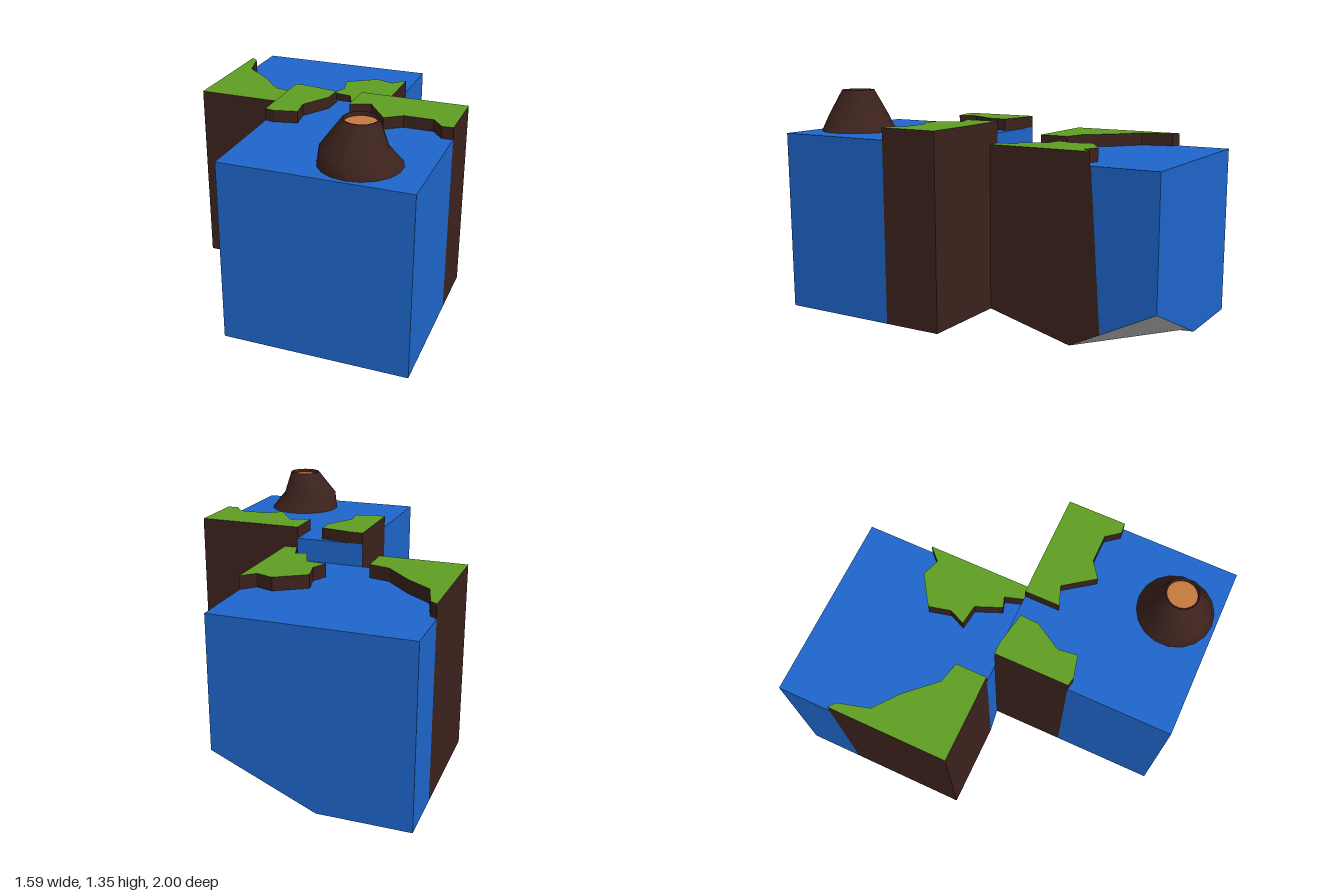
import * as THREE from 'three';

const paint = (color) => new THREE.MeshStandardMaterial({ color, side: THREE.DoubleSide });

export function createModel() {
  const model = new THREE.Group();
  const water = paint(0x1e66cc), earth = paint(0x3c221d), grass = paint(0x5f9f22);
  const lava = paint(0xc87a40), base = paint(0xcccccc);

  const add = (parent, name, geometry, material) => {
    const mesh = new THREE.Mesh(geometry, material);
    mesh.name = name;
    parent.add(mesh);
    return mesh;
  };
  const build = (points, index) => {
    const g = new THREE.BufferGeometry();
    g.setAttribute('position', new THREE.Float32BufferAttribute(points.flat(), 3));
    g.setIndex(index);
    g.computeVertexNormals();
    return g;
  };
  // Flat polygon fanned from its first corner
  const face = (points) => build(points, points.slice(2).flatMap((_, i) => [0, i + 1, i + 2]));
  // Horizontal sheet from [x, z] corners
  const sheet = (outline, y) => new THREE.ShapeGeometry(
    new THREE.Shape(outline.map(([x, z]) => new THREE.Vector2(x, -z))))
    .rotateX(-Math.PI / 2).translate(0, y, 0);
  const rect = (x0, x1, z0, z1) => [[x0, z1], [x1, z1], [x1, z0], [x0, z0]];
  // Walls: p maps 2D wall coordinates to 3D
  const onX = (x, pts) => face(pts.map(([z, y]) => [x, y, z]));
  const onZ = (z, pts) => face(pts.map(([x, y]) => [x, y, z]));

  // Grass plateau with a vertical cliff all round it, down to the water
  const land = (parent, name, outline, low, high) => {
    const g = new THREE.Group();
    g.name = name;
    parent.add(g);
    add(g, 'grass', sheet(outline, high), grass);
    const quads = outline.map((a, i) => {
      const b = outline[(i + 1) % outline.length];
      return [[a[0], low, a[1]], [b[0], low, b[1]], [b[0], high, b[1]], [a[0], high, a[1]]];
    });
    add(g, 'cliff', build(quads.flat(),
      quads.flatMap((_, i) => [0, 1, 2, 0, 2, 3].map((k) => k + i * 4))).toNonIndexed(), earth);
  };

  // ---- Front block ----
  const front = new THREE.Group();
  front.name = 'frontBlock';
  model.add(front);
  const L = -0.2, R = 0.79, B = 0.13, W = 1.12, T = 1.185;
  const band = (a, b, lo = B, hi = W) => [[a, lo], [b, lo], [b, hi], [a, hi]];
  add(front, 'waterTop', sheet(rect(L, R, 0, 1), W), water);
  add(front, 'waterFront', onZ(1, band(L, R)), water);
  add(front, 'waterLeft', onX(R, band(1, 0.33)), water);
  add(front, 'waterRight', onX(L, band(0.42, 1)), water);
  add(front, 'waterBack', onZ(0, band(0.19, L)), water);
  add(front, 'earthLeft', onX(R, band(0.33, 0)), earth);
  add(front, 'earthRight', onX(L, band(0, 0.42)), earth);
  add(front, 'earthBack', onZ(0, band(R, 0.19)), earth);
  add(front, 'underside', sheet(rect(L, R, 0, 1), 0).rotateX(Math.PI).translate(0, B, 1), base);
  land(front, 'smallShore', [[L, 0], [-0.13, 0], [0.055, 0.035], [0.05, 0.14], [-0.04, 0.29],
    [-0.025, 0.4], [-0.15, 0.43], [L, 0.42]], W, T);
  land(front, 'wideShore', [[0.19, 0], [0.19, 0.2], [0.3, 0.16], [0.42, 0.325], [0.51, 0.26],
    [0.67, 0.26], [0.73, 0.335], [R, 0.33], [R, 0]], W, T);

  // ---- Back block, with its underside lifted along one side ----
  const back = new THREE.Group();
  back.name = 'backBlock';
  model.add(back);
  const l = -0.8, r = 0.27, w = 0.99, t = 1.065, m = -0.3;
  add(back, 'waterTop', sheet(rect(l, r, -1, 0), w), water);
  add(back, 'waterBack', onZ(-1, [[r, w], [r, 0.25], [m, 0], [l, 0], [l, w]]), water);
  add(back, 'waterLeft', onX(r, [[-0.68, 0.09], [-1, 0.25], [-1, w], [-0.615, w]]), water);
  add(back, 'waterRight', onX(l, band(-1, -0.69, 0, w)), water);
  add(back, 'waterFront', onZ(0, [[m, w], [m, 0], [L, B], [0.195, B], [0.195, w]]), water);
  add(back, 'earthLeft', onX(r, [[0, w], [0, B], [-0.5, 0], [-0.68, 0.09], [-0.615, w]]), earth);
  add(back, 'earthRight', onX(l, band(-0.69, 0, 0, w)), earth);
  add(back, 'earthFront', onZ(0, band(l, m, 0, w)), earth);
  add(back, 'earthFrontEdge', onZ(0, band(0.195, r, B, w)), earth);
  land(back, 'cornerShore', [[l, 0], [l, -0.69], [-0.76, -0.66], [-0.71, -0.48], [-0.57, -0.37],
    [-0.42, -0.21], [m, -0.18], [m, 0]], w, t);
  land(back, 'raggedShore', [[r, -0.61], [0.2, -0.54], [0.1, -0.575], [-0.065, -0.465],
    [-0.035, -0.34], [-0.075, -0.25], [0.04, -0.235], [0.1, -0.09], [0.16, -0.11], [0.195, 0],
    [r, 0]], w, t);
  // Underside: rows of [x, y] at three depths
  const rows = [
    [0, [[l, 0], [m, 0], [L, B], [r, B]]],
    [-0.5, [[l, 0], [m, 0], [L, 0], [r, 0]]],
    [-1, [[l, 0], [m, 0], [L, 0.044], [r, 0.25]]],
  ];
  const index = [];
  for (let j = 0; j < 2; j++) for (let i = 0; i < 3; i++) {
    const a = j * 4 + i;
    index.push(a, a + 4, a + 1, a + 1, a + 4, a + 5);
  }
  add(back, 'underside', build(rows.flatMap(([z, row]) => row.map(([x, y]) => [x, y, z])), index), base);

  // ---- Volcano: a turned cone whose shoulder leans off-centre ----
  const volcano = new THREE.Group();
  volcano.name = 'volcano';
  volcano.position.set(0.45, W, 0.77);
  model.add(volcano);
  const cone = new THREE.LatheGeometry([[0.21, 0], [0.167, 0.09], [0.09, 0.23]]
    .map(([x, y]) => new THREE.Vector2(x, y)), 18);
  const p = cone.attributes.position;
  for (let i = 0; i < p.count; i++) {
    if (Math.abs(p.getY(i) - 0.09) < 0.01) p.setXYZ(i, p.getX(i) - 0.025, 0.09, p.getZ(i) + 0.022);
  }
  cone.computeVertexNormals();
  add(volcano, 'slope', cone, earth);
  add(volcano, 'craterRim', new THREE.LatheGeometry([[0.09, 0.23], [0.083, 0.23], [0.083, 0.21]]
    .map(([x, y]) => new THREE.Vector2(x, y)), 18), earth);
  add(volcano, 'lava', new THREE.CircleGeometry(0.083, 18).rotateX(-Math.PI / 2).translate(0, 0.21, 0), lava);

  return model;
}
